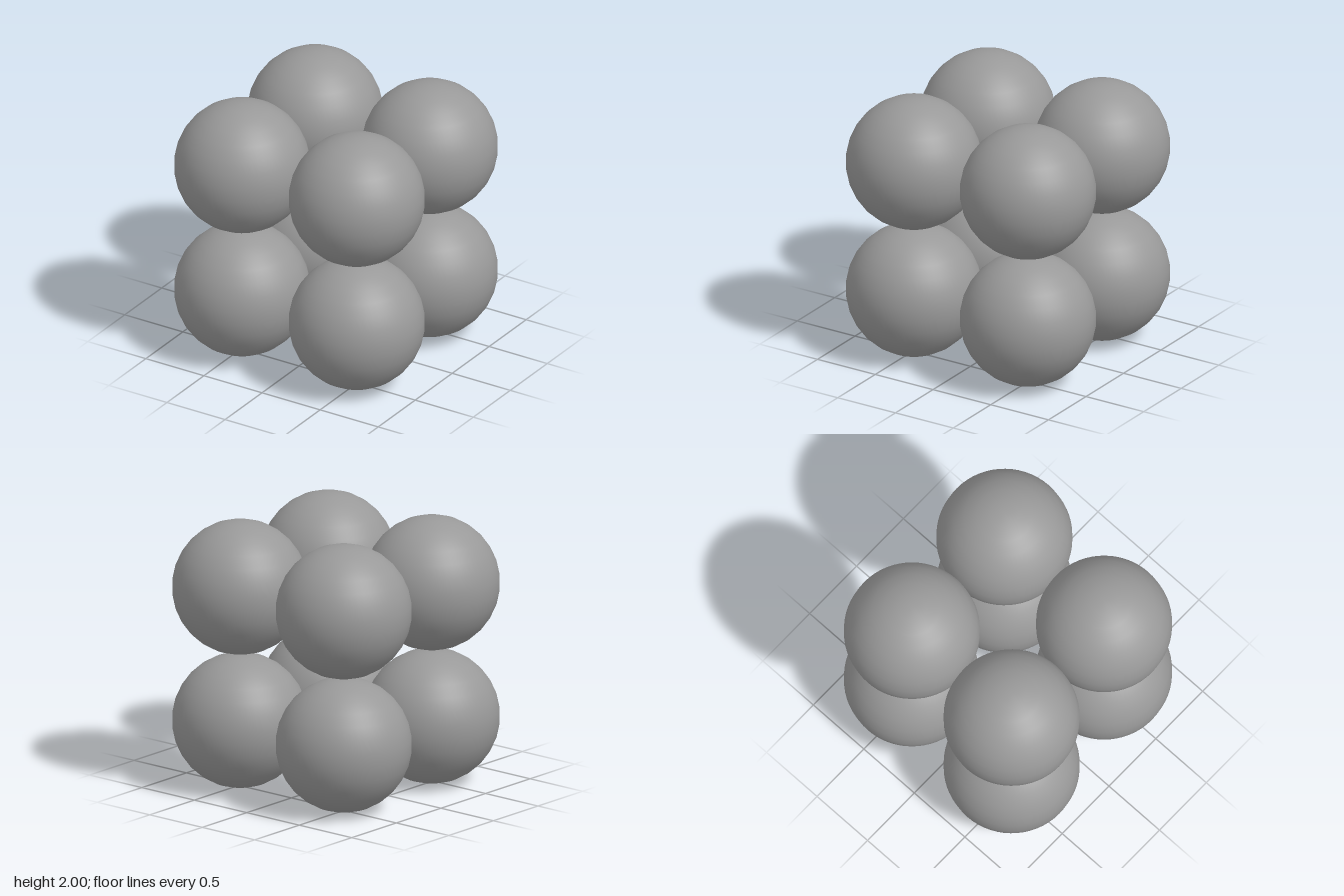
import * as THREE from 'three';

// Eight equal balls stacked as a 2 x 2 x 2 cube
export function createModel() {
  const group = new THREE.Group();
  group.name = 'ballCube';

  const radius = 0.4962;
  const offset = 0.4935; // neighbours in a layer just touch at the equator
  const ball = new THREE.SphereGeometry(radius, 60, 15);
  const material = new THREE.MeshStandardMaterial({ color: 0x999999 });

  for (const [level, y] of [['lower', radius], ['upper', 2 - radius]]) {
    for (const [depth, z] of [['Front', offset], ['Back', -offset]]) {
      for (const [side, x] of [['Left', offset], ['Right', -offset]]) {
        const mesh = new THREE.Mesh(ball, material);
        mesh.name = `${level}${depth}${side}Ball`;
        mesh.position.set(x, y, z);
        group.add(mesh);
      }
    }
  }
  return group;
}
